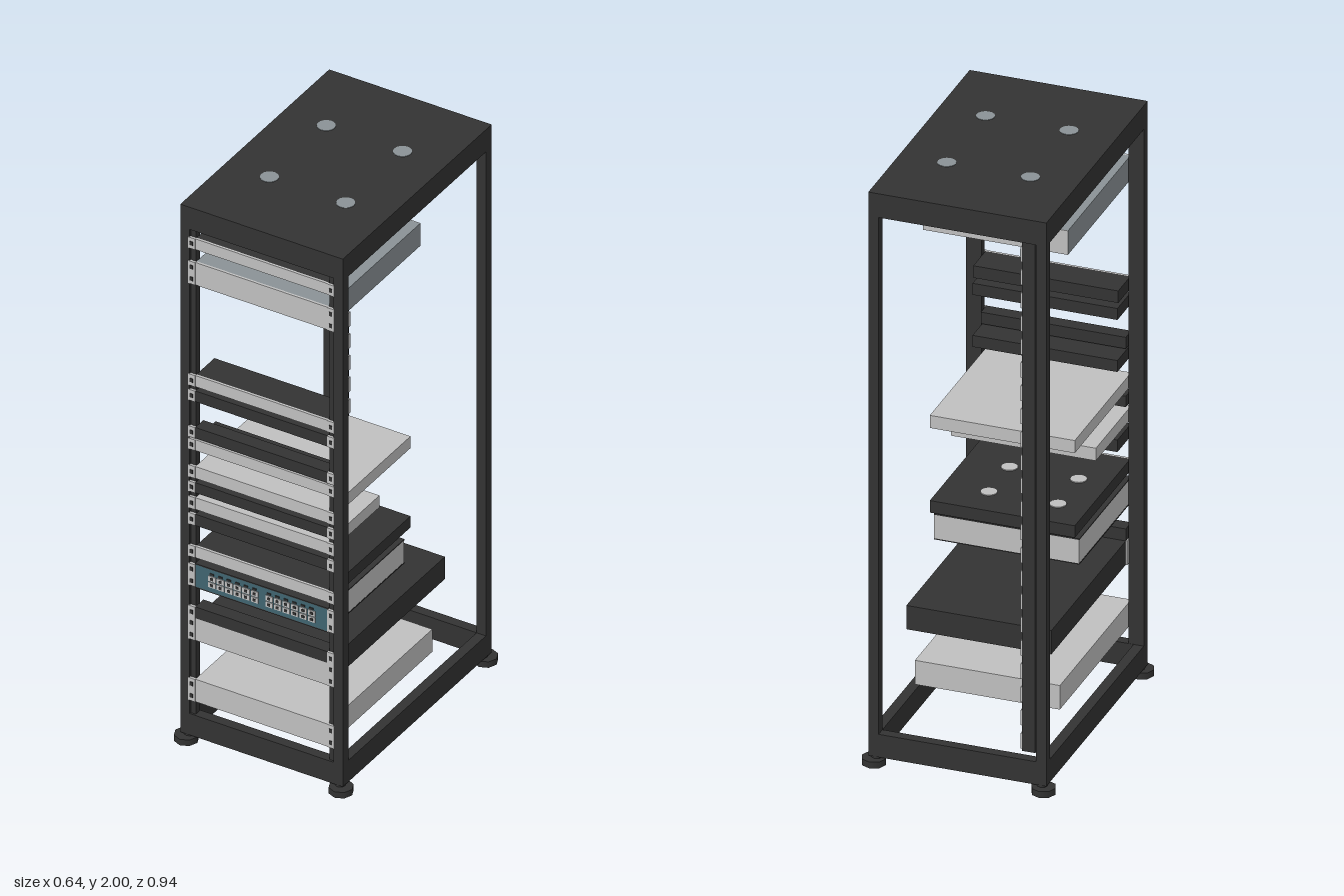
import * as THREE from 'three';

export function createModel() {
  const root = new THREE.Group();
  root.name = 'equipmentRack';
  const material = (name, color) => {
    const m = new THREE.MeshStandardMaterial({ color });
    m.name = name;
    return m;
  };
  const dark = material('charcoal metal', 0x333333);
  const light = material('light grey', 0xc0c0c0);
  const steel = material('blue grey steel', 0x8a9296);
  const teal = material('dark teal', 0x3f6470);

  // Box given by its minimum and maximum on each axis
  function box(parent, name, mat, [x0, x1], [y0, y1], [z0, z1]) {
    const mesh = new THREE.Mesh(new THREE.BoxGeometry(x1 - x0, y1 - y0, z1 - z0), mat);
    mesh.position.set((x0 + x1) / 2, (y0 + y1) / 2, (z0 + z1) / 2);
    mesh.name = name;
    parent.add(mesh);
    return mesh;
  }
  function disc(parent, name, mat, r, h, x, y, z, sides) {
    const mesh = new THREE.Mesh(new THREE.CylinderGeometry(r, r, h, sides), mat);
    mesh.position.set(x, y, z);
    mesh.name = name;
    parent.add(mesh);
  }

  // Frame: posts, front mounting rails, feet and beams
  const frame = new THREE.Group();
  frame.name = 'frame';
  root.add(frame);
  const W = 0.296, D = 0.443, T = 0.034;
  const span = (s, a, b) => (s > 0 ? [a, b] : [-b, -a]);
  for (const sx of [-1, 1]) {
    for (const sz of [-1, 1]) {
      box(frame, 'post', dark, span(sx, W - T, W), [0.1, 1.93], span(sz, D - T, D));
      disc(frame, 'foot', dark, 0.04, 0.022, sx * 0.282, 0.011, sz * 0.43, 8);
      disc(frame, 'footStem', dark, 0.018, 0.02, sx * 0.275, 0.026, sz * 0.423, 8);
    }
    box(frame, 'frontRail', dark, span(sx, 0.244, W - T), [0.1, 1.93], [0.41, 0.436]);
  }
  for (const y of [[0.03, 0.11], [1.917, 1.985]]) {
    for (const s of [-1, 1]) {
      box(frame, 'sideBeam', dark, span(s, W - T, W), y, [-D, D]);
      box(frame, 'crossBeam', dark, [T - W, W - T], y, span(s, D - T, D));
    }
  }
  box(frame, 'roof', dark, [-W, W], [1.985, 2], [-D, D]);
  for (const x of [-0.139, 0.139]) {
    for (const z of [-0.169, 0.169]) disc(frame, 'roofKnockout', steel, 0.03, 0.018, x, 1.9925, z, 16);
  }

  // Rack units: bottom, top, back z, front colour, body colour, kind
  const units = [
    [1.85, 1.89, 0.375, light, dark, 'panel'],
    [1.718, 1.802, -0.107, light, steel, 'steelUnit'],
    [1.338, 1.38, 0.33, light, dark, 'panel'],
    [1.282, 1.322, 0.323, dark, dark, 'cableDuct'],
    [1.146, 1.186, 0.396, dark, dark, 'blankPanel'],
    [1.1, 1.14, 0.323, light, dark, 'panel'],
    [0.996, 1.04, -0.05, light, light, 'shelfUnit'],
    [0.942, 0.98, 0.396, dark, dark, 'blankPanel'],
    [0.88, 0.924, 0.135, light, light, 'shortUnit'],
    [0.82, 0.862, 0.323, dark, dark, 'cableDuct'],
    [0.7, 0.742, -0.05, light, dark, 'ventedUnit'],
    [0.592, 0.674, -0.012, teal, light, 'portUnit'],
    [0.474, 0.516, 0.396, dark, dark, 'blankPanel'],
    [0.391, 0.474, -0.255, light, dark, 'deepUnit'],
    [0.162, 0.246, -0.18, light, light, 'baseUnit'],
  ];
  for (const [y0, y1, back, front, body, kind] of units) {
    const unit = new THREE.Group();
    unit.name = kind;
    root.add(unit);
    const tall = y1 - y0 > 0.06;
    box(unit, 'body', body, [-0.241, 0.241], [y0, y1], [back, 0.436]);
    box(unit, 'frontPlate', front, [-0.241, 0.241], [y0, y1], [0.436, 0.444]);
    // Mounting ears with screw holes
    for (const s of [-1, 1]) {
      box(unit, 'ear', light, span(s, 0.241, 0.266), [y0, y1], [0.437, 0.446]);
      const yc = (y0 + y1) / 2;
      for (const y of tall ? [yc - 0.022, yc + 0.022] : [yc]) {
        box(unit, 'screwHole', dark, span(s, 0.248, 0.259), [y - 0.007, y + 0.007], [0.446, 0.448]);
      }
    }
    if (kind === 'steelUnit') {
      box(unit, 'backPlate', light, [-0.241, 0.241], [y0, y1], [back - 0.003, back]);
    }
    if (kind === 'deepUnit') {
      for (const s of [-1, 1]) box(unit, 'sideBracket', light, span(s, 0.241, 0.246), [y0, y1], [0.395, 0.438]);
    }
    if (kind === 'ventedUnit') {
      for (const x of [-0.14, 0.09]) {
        for (const z of [0.07, 0.25]) disc(unit, 'topVent', light, 0.027, 0.004, x, y1 + 0.001, z, 16);
      }
    }
    if (kind === 'portUnit') {
      box(unit, 'topCover', dark, [-0.242, 0.242], [y1, y1 + 0.004], [back, 0.444]);
      box(unit, 'bottomCover', dark, [-0.242, 0.242], [y0 - 0.004, y0], [back, 0.444]);
      // Two banks of sockets in two rows
      for (const start of [-0.192, 0.016]) {
        for (let i = 0; i < 6; i++) {
          for (let row = 0; row < 2; row++) {
            const x = start + i * 0.031, y = 0.609 + row * 0.023;
            box(unit, 'port', light, [x, x + 0.026], [y, y + 0.019], [0.444, 0.447]);
            box(unit, 'portOpening', dark, [x + 0.008, x + 0.018], [y + 0.005, y + 0.014], [0.447, 0.449]);
          }
          box(unit, 'portLamp', dark, [start + i * 0.031 + 0.005, start + i * 0.031 + 0.019], [0.655, 0.661], [0.444, 0.447]);
        }
      }
    }
  }

  // Upright power strip at the rear, sockets facing inward
  const strip = new THREE.Group();
  strip.name = 'powerStrip';
  root.add(strip);
  box(strip, 'stripBody', dark, [-0.245, -0.202], [0.12, 1.91], [-0.407, -0.365]);
  for (let i = 0; i < 22; i++) {
    const y = 0.127 + i * 0.081;
    box(strip, 'socket', light, [-0.202, -0.196], [y, y + 0.053], [-0.405, -0.367]);
  }
  box(strip, 'stripDisplay', teal, [-0.196, -0.194], [1.845, 1.872], [-0.404, -0.368]);
  return root;
}
